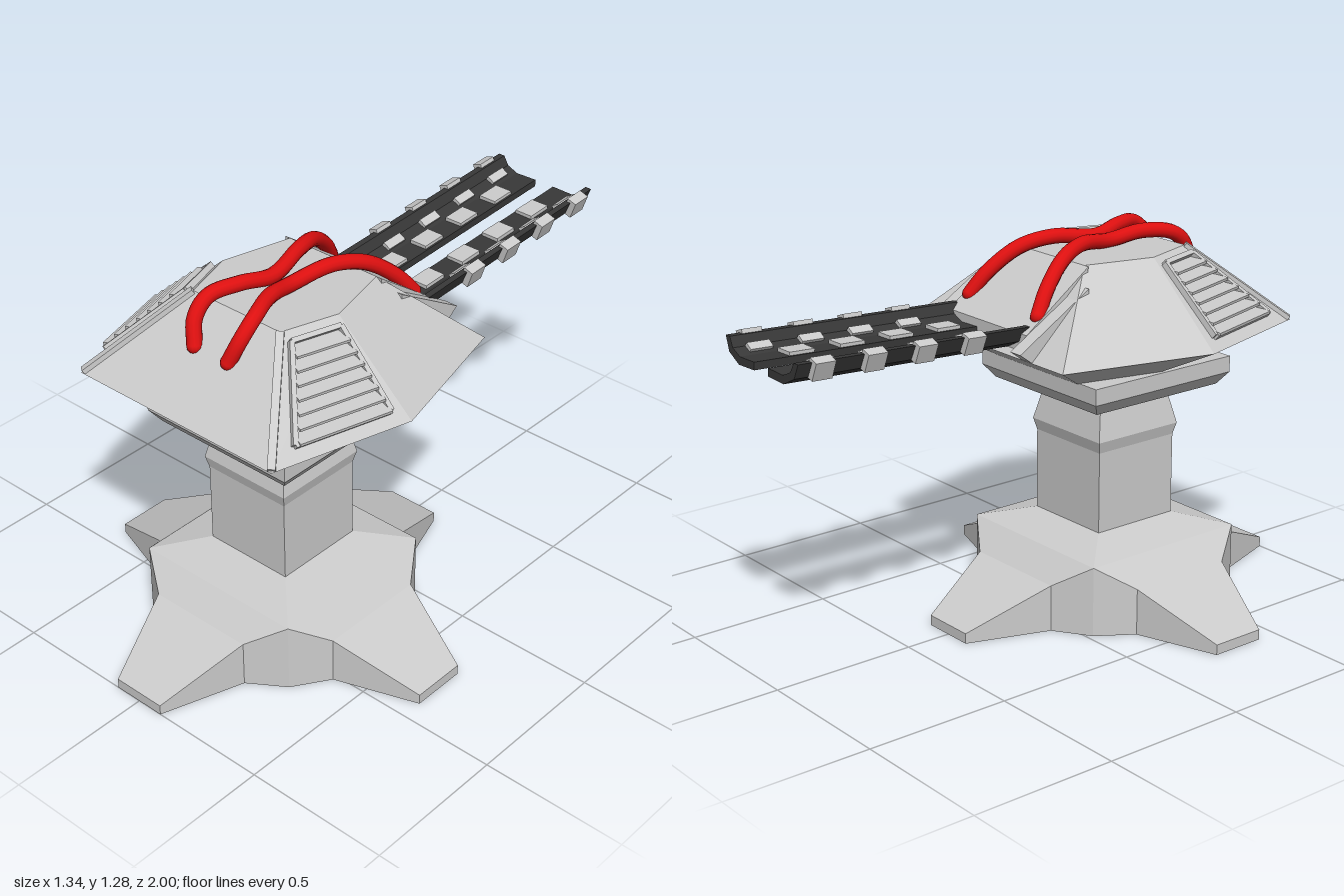
import * as THREE from 'three';
import { ConvexGeometry } from 'three/addons/geometries/ConvexGeometry.js';

const V = (x, y, z) => new THREE.Vector3(x, y, z);
const grey = new THREE.MeshStandardMaterial({ color: 0xcccccc, flatShading: true });
const dark = new THREE.MeshStandardMaterial({ color: 0x383838, flatShading: true });
const red = new THREE.MeshStandardMaterial({ color: 0xdd1010 });
const CZ = 0.33; // z of the pedestal axis

function part(parent, name, geometry, material = grey) {
  const mesh = new THREE.Mesh(geometry, material);
  mesh.name = name;
  parent.add(mesh);
  return mesh;
}

// Flat polygons, fan-triangulated from their first corner
function polygons(faces) {
  const pos = [];
  for (const f of faces)
    for (let i = 1; i < f.length - 1; i++)
      for (const p of [f[0], f[i], f[i + 1]]) pos.push(p.x, p.y, p.z);
  const g = new THREE.BufferGeometry();
  g.setAttribute('position', new THREE.Float32BufferAttribute(pos, 3));
  g.computeVertexNormals();
  return g;
}

// Square turned profile: [half width, y] from bottom to top
function squareLathe(profile) {
  const pts = profile.map(([w, y]) => new THREE.Vector2(w * Math.SQRT2, y));
  return new THREE.LatheGeometry(pts, 4, Math.PI / 4).translate(0, 0, CZ);
}

// Box from p to q, with its depth along the outward direction
function bar(parent, name, p, q, out, width, depth) {
  const X = q.clone().sub(p), len = X.length();
  X.normalize();
  const Z = out.clone().addScaledVector(X, -out.dot(X)).normalize();
  const m = new THREE.Matrix4().makeBasis(X, Z.clone().cross(X), Z);
  m.setPosition(p.clone().add(q).multiplyScalar(0.5));
  part(parent, name, new THREE.BoxGeometry(len, width, depth).applyMatrix4(m));
}

// Side profile in (z, y) extruded across x
function sideProfile(points, x0, x1) {
  const s = new THREE.Shape(points.map(([z, y]) => new THREE.Vector2(z, y)));
  return new THREE.ExtrudeGeometry(s, { depth: x1 - x0, bevelEnabled: false })
    .rotateY(-Math.PI / 2).translate(x1, 0, 0);
}

function baseArm() {
  const T = [], t = [], R = [], r = [], C = [], c = [], S = [];
  for (const s of [-1, 1]) {
    T.push(V(s * 0.095, 0.035, 0.67)); t.push(V(s * 0.095, 0, 0.67));
    R.push(V(s * 0.19, 0.16, 0.39)); r.push(V(s * 0.19, 0, 0.39));
    C.push(V(s * 0.31, 0.24, 0.31)); c.push(V(s * 0.31, 0, 0.31));
    S.push(V(s * 0.162, 0.28, 0.162));
  }
  return polygons([
    [t[0], t[1], T[1], T[0]], [T[0], T[1], R[1], R[0]],
    [t[1], r[1], R[1], T[1]], [r[0], t[0], T[0], R[0]],
    [r[1], c[1], C[1], R[1]], [c[0], r[0], R[0], C[0]],
    [R[0], R[1], C[1], C[0]], [C[0], C[1], S[1], S[0]],
    [V(0, 0, 0), c[1], r[1], t[1], t[0], r[0], c[0]],
  ]);
}

// Louvred vent on a front flank of the head
function vent(parent, s) {
  const A = V(s * 0.53, 0.96, 0.32), B = V(s * 0.4, 0.96, 0.79);
  const D = V(s * 0.24, 1.215, 0.32), C = V(s * 0.18, 1.215, 0.51);
  const n = B.clone().sub(A).cross(D.clone().sub(A)).normalize();
  if (n.x * s < 0) n.negate();
  const at = (u, v) => A.clone().lerp(B, u).lerp(D.clone().lerp(C, u), v).addScaledVector(n, 0.005);
  const u0 = 0.1, u1 = 0.84, v0 = 0.13, v1 = 0.9;
  const corners = [at(u0, v0), at(u1, v0), at(u1, v1), at(u0, v1)];
  corners.forEach((p, i) => bar(parent, 'ventFrame', p, corners[(i + 1) % 4], n, 0.016, 0.03));
  const out = V(n.x, -0.12, n.z);
  for (let i = 0; i < 7; i++) {
    const v = v0 + (v1 - v0) * (i + 0.6) / 7.2;
    bar(parent, 'ventSlat', at(u0, v), at(u1, v), out, 0.01, 0.075);
  }
  // raised trim down the front corner
  bar(parent, 'cornerTrim', B.clone().lerp(C, 0.02), C, V(s * 0.5, 0.5, 0.6), 0.025, 0.02);
}

// Open, leaning half-shell barrel with staggered pads
function barrel(s) {
  const g = new THREE.Group();
  g.name = 'barrel';
  const section = [[-0.08, -0.037], [0.005, -0.04], [0.06, -0.012], [0.08, 0.036],
    [0.057, 0.036], [0.04, 0.004], [0, -0.014], [-0.08, -0.012]];
  const shape = new THREE.Shape(section.map(([x, y]) => new THREE.Vector2(s * x, y)));
  part(g, 'barrelShell', new THREE.ExtrudeGeometry(shape, { depth: 0.87, bevelEnabled: false }).translate(0, 0, -0.87), dark);
  for (let i = 0; i < 4; i++) {
    const z = -0.235 - i * 0.184;
    const rim = part(g, 'rimPad', new THREE.BoxGeometry(0.035, 0.062, 0.07));
    rim.position.set(s * 0.075, 0.014, z);
    rim.rotation.z = -s * 0.35;
    part(g, 'innerPad', new THREE.BoxGeometry(0.066, 0.02, 0.09)).position.set(s * -0.04, -0.011, z + 0.09);
    const mid = part(g, 'middlePad', new THREE.BoxGeometry(0.03, 0.02, 0.08));
    mid.position.set(s * 0.025, 0, z);
    mid.rotation.z = s * 0.55;
  }
  g.position.set(0.015 + s * 0.118, 1.018, -0.13);
  g.rotation.x = 0.05;
  return g;
}

export function createModel() {
  const model = new THREE.Group();
  model.name = 'turret';

  // Four-armed foot
  const foot = new THREE.Group();
  foot.name = 'foot';
  foot.position.z = CZ;
  for (let i = 0; i < 4; i++) part(foot, 'footArm', baseArm()).rotation.y = i * Math.PI / 2;
  model.add(foot);

  // Column and collar
  part(model, 'column', squareLathe([[0.162, 0.27], [0.162, 0.56], [0.172, 0.6], [0.138, 0.75]]));
  part(model, 'collar', squareLathe([[0, 0.742], [0.262, 0.742], [0.293, 0.785], [0.293, 0.84], [0, 0.84]]));

  // Faceted head
  const head = new THREE.Group();
  head.name = 'head';
  model.add(head);
  const pts = [];
  for (const s of [-1, 1]) {
    for (const [x, y, z] of [
      [0.4, 0.96, -0.19], [0.53, 0.96, 0.32], [0.4, 0.96, 0.79],
      [0.18, 1.215, 0.08], [0.24, 1.215, 0.32], [0.18, 1.215, 0.51],
      [0.2, 0.835, 0.04], [0.27, 0.835, 0.33], [0.22, 0.835, 0.57], [0.26, 0.89, 0.72],
    ]) pts.push(V(s * x, y, z));
  }
  part(head, 'headShell', new ConvexGeometry(pts));

  // Barrel mount: sloping block with two cheeks
  part(head, 'barrelMount', sideProfile([[0.08, 1.215], [-0.17, 1.035], [-0.17, 0.965], [0.05, 0.965]], -0.2, 0.2));
  for (const s of [-1, 1]) {
    part(head, 'mountCheek', sideProfile([[0.04, 1.16], [-0.235, 0.995], [-0.19, 0.962], [0.05, 0.962]],
      s * 0.225 - 0.025, s * 0.225 + 0.025));
    vent(head, s);
    model.add(barrel(s));

    // Hose over the top of the head
    const path = [[0.175, 1.08, -0.105], [0.15, 1.15, -0.05], [0.11, 1.225, 0.05], [0.07, 1.25, 0.16],
      [0.038, 1.235, 0.31], [0.06, 1.252, 0.43], [0.095, 1.24, 0.53], [0.095, 1.19, 0.59], [0.07, 1.115, 0.62]]
      .map(([x, y, z]) => V(s * x, y, z));
    const hose = new THREE.Group();
    hose.name = 'hose';
    part(hose, 'hoseTube', new THREE.TubeGeometry(new THREE.CatmullRomCurve3(path), 48, 0.025, 12), red);
    for (const p of [path[0], path[path.length - 1]])
      part(hose, 'hoseEnd', new THREE.SphereGeometry(0.025, 12, 8), red).position.copy(p);
    model.add(hose);
  }
  return model;
}
